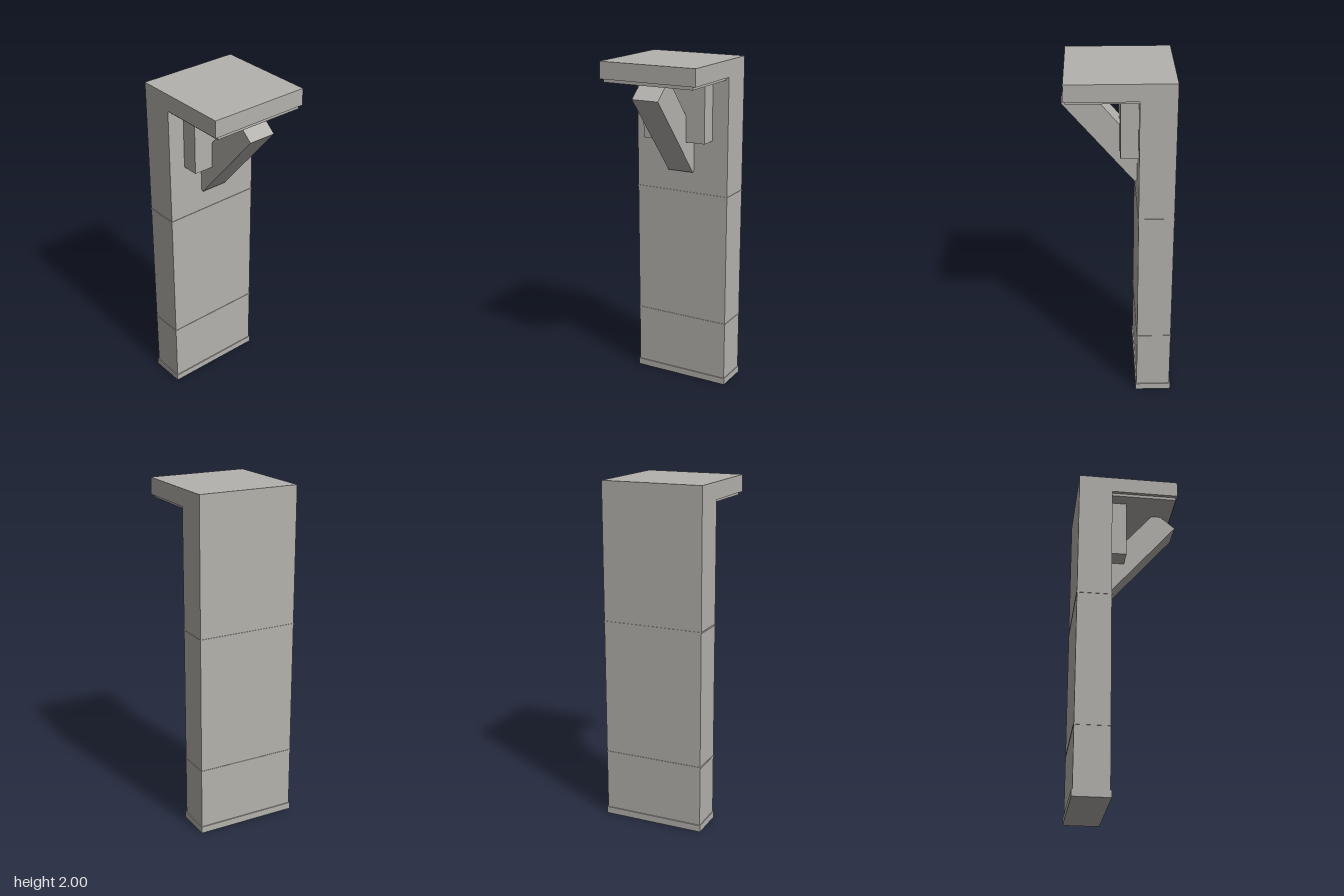
import * as THREE from 'three';

export function createModel() {
  const model = new THREE.Group();
  model.name = 'bracketPillar';
  const stone = new THREE.MeshStandardMaterial({ color: 0xb4b2ad });
  stone.name = 'stone';

  // Box given by its x and y ranges and half depth, centred on z = 0
  function block(name, x0, x1, y0, y1, halfZ) {
    const mesh = new THREE.Mesh(new THREE.BoxGeometry(x1 - x0, y1 - y0, halfZ * 2), stone);
    mesh.position.set((x0 + x1) / 2, (y0 + y1) / 2, 0);
    mesh.name = name;
    model.add(mesh);
    return mesh;
  }

  // Post and overhanging cap share one L-shaped profile
  const profile = new THREE.Shape([
    [-0.307, 0], [-0.107, 0], [-0.107, 1.902], [0.293, 1.902], [0.293, 2], [-0.307, 2],
  ].map(([x, y]) => new THREE.Vector2(x, y)));
  const body = new THREE.ExtrudeGeometry(profile, { depth: 0.6, bevelEnabled: false });
  body.translate(0, 0, -0.3);
  const post = new THREE.Mesh(body, stone);
  post.name = 'postAndCap';
  model.add(post);

  // Plinth and two thin joint bands
  block('plinth', -0.313, -0.101, 0, 0.04, 0.305);
  for (const y of [0.4, 1.2]) block('jointBand', -0.31, -0.104, y - 0.004, y + 0.004, 0.303);

  // Inset ledge beneath the cap and the backing block against the post
  block('capLedge', -0.11, 0.285, 1.884, 1.905, 0.28);
  block('backingBlock', -0.11, -0.008, 1.528, 1.89, 0.2);

  // Diagonal brace running from the post up to the ledge
  const brace = block('brace', -0.314, 0.314, -0.08, 0.08, 0.082);
  brace.position.set(0.048, 1.621, 0);
  brace.rotation.z = THREE.MathUtils.degToRad(49.8);

  return model;
}
